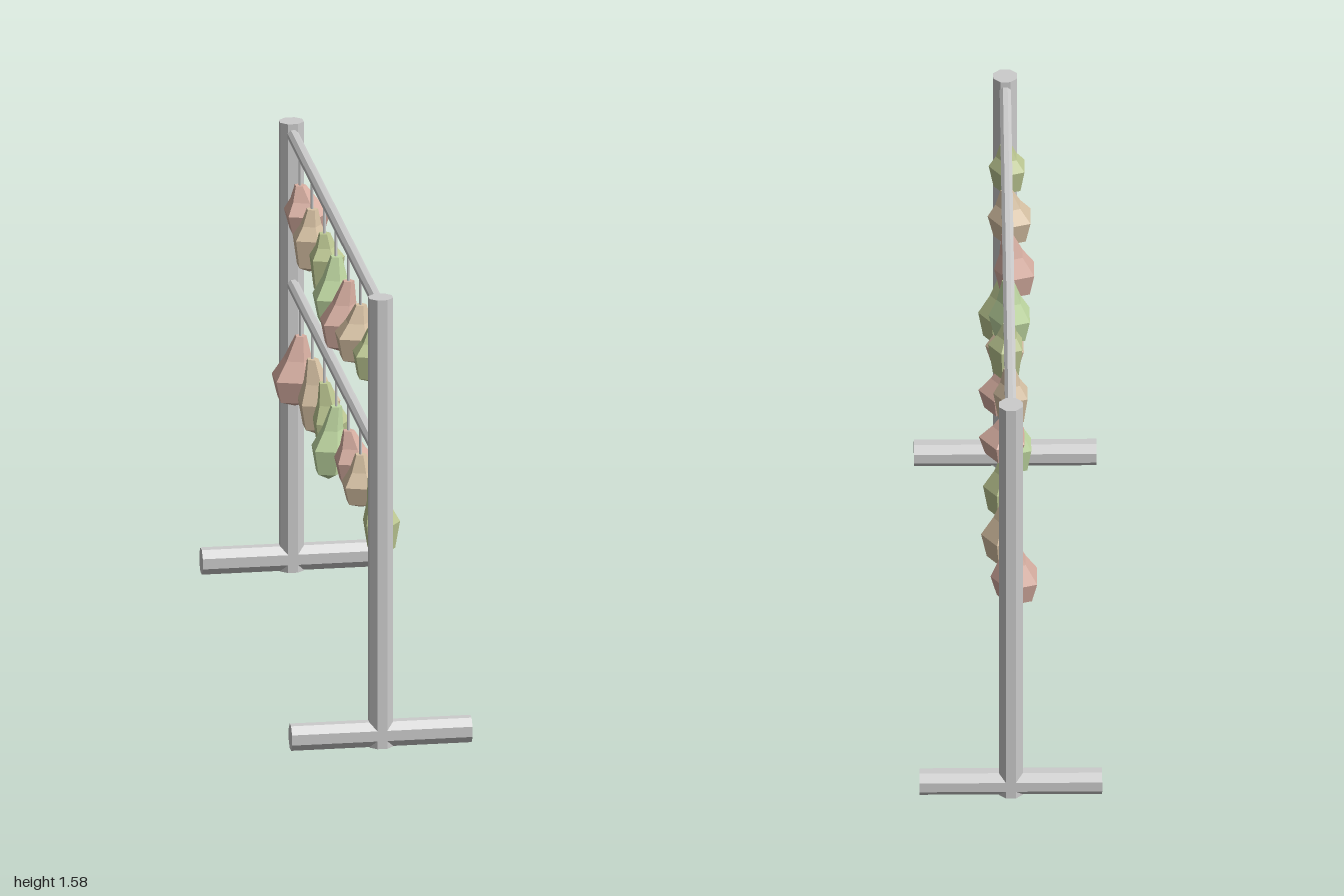
import * as THREE from 'three';

const grey = new THREE.MeshStandardMaterial({ color: 0xcccccc, flatShading: true });
const tint = (color) => new THREE.MeshStandardMaterial({ color, flatShading: true });
const olive = tint(0xbfca94), tan = tint(0xd9c3a5), pink = tint(0xd9b0a3), green = tint(0xc2dba4);

// Octagonal bar with flat sides facing the axes; width and depth are across the flats
function bar(name, width, depth, length) {
  const r = 0.5 / Math.cos(Math.PI / 8);
  const geo = new THREE.CylinderGeometry(r, r, length, 8);
  geo.rotateY(Math.PI / 8).scale(width, 1, depth);
  const mesh = new THREE.Mesh(geo, grey);
  mesh.name = name;
  return mesh;
}

// Five-sided pear: narrow top, belly leaning sideways by `lean`, pointed base
function pear(radius, top, belly, bottom, lean, material) {
  const h = top - bottom;
  const neck = top - (top - belly) * 0.55;
  const profile = [
    [0, bottom], [radius * 0.75, bottom + h * 0.1], [radius, belly],
    [radius * 0.58, neck], [0.02, top], [0, top],
  ].map(([x, y]) => new THREE.Vector2(x, y));
  const geo = new THREE.LatheGeometry(profile, 5, Math.PI / 2);
  const pos = geo.attributes.position;
  for (let i = 0; i < pos.count; i++) {
    const t = Math.min(1, (top - pos.getY(i)) / (top - belly));
    pos.setX(i, pos.getX(i) + lean * t);
  }
  const mesh = new THREE.Mesh(geo, material);
  mesh.name = 'pear';
  return mesh;
}

export function createModel() {
  const model = new THREE.Group();
  model.name = 'hangingRack';

  // End posts with their feet
  for (const side of [1, -1]) {
    const post = bar('post', 0.08, 0.075, 1.575);
    post.position.set(0, 0.7875, side * 0.9625);
    const foot = bar('foot', 0.086, 0.075, 0.61);
    foot.rotation.z = Math.PI / 2;
    foot.position.set(0, 0.045, side * 0.9625);
    model.add(post, foot);
  }

  // Per pear: z, radius, belly height, bottom height, lean, material
  const rows = [
    { name: 'upperRow', rail: 1.535, top: 1.41, pears: [
      [0.795, 0.066, 1.325, 1.225, -0.009, olive],
      [0.53, 0.079, 1.305, 1.205, -0.016, tan],
      [0.27, 0.074, 1.27, 1.165, -0.03, pink],
      [0, 0.076, 1.27, 1.165, -0.011, green],
      [-0.25, 0.063, 1.325, 1.19, 0.006, olive],
      [-0.515, 0.063, 1.31, 1.19, -0.009, tan],
      [-0.775, 0.084, 1.315, 1.23, 0.021, pink],
    ] },
    { name: 'lowerRow', rail: 1.01, top: 0.885, pears: [
      [0.795, 0.066, 0.73, 0.61, 0.026, olive],
      [0.53, 0.071, 0.78, 0.7, 0, tan],
      [0.27, 0.076, 0.78, 0.69, 0.02, pink],
      [0.005, 0.065, 0.74, 0.63, -0.025, green],
      [-0.25, 0.066, 0.75, 0.63, 0.02, olive],
      [-0.51, 0.076, 0.735, 0.62, 0.019, tan],
      [-0.765, 0.086, 0.74, 0.64, -0.02, pink],
    ] },
  ];

  for (const row of rows) {
    const group = new THREE.Group();
    group.name = row.name;
    const rail = bar('rail', 0.038, 0.038, 1.86);
    rail.rotation.x = Math.PI / 2;
    rail.position.y = row.rail;
    group.add(rail);

    for (const [z, radius, belly, bottom, lean, material] of row.pears) {
      const fruit = pear(radius, row.top, belly, bottom, lean, material);
      fruit.position.z = z;
      const length = row.rail - row.top + 0.01;
      const string = new THREE.Mesh(new THREE.CylinderGeometry(0.005, 0.005, length, 6), grey);
      string.name = 'string';
      string.position.set(0, row.top - 0.01 + length / 2, z);
      group.add(fruit, string);
    }
    model.add(group);
  }
  return model;
}
